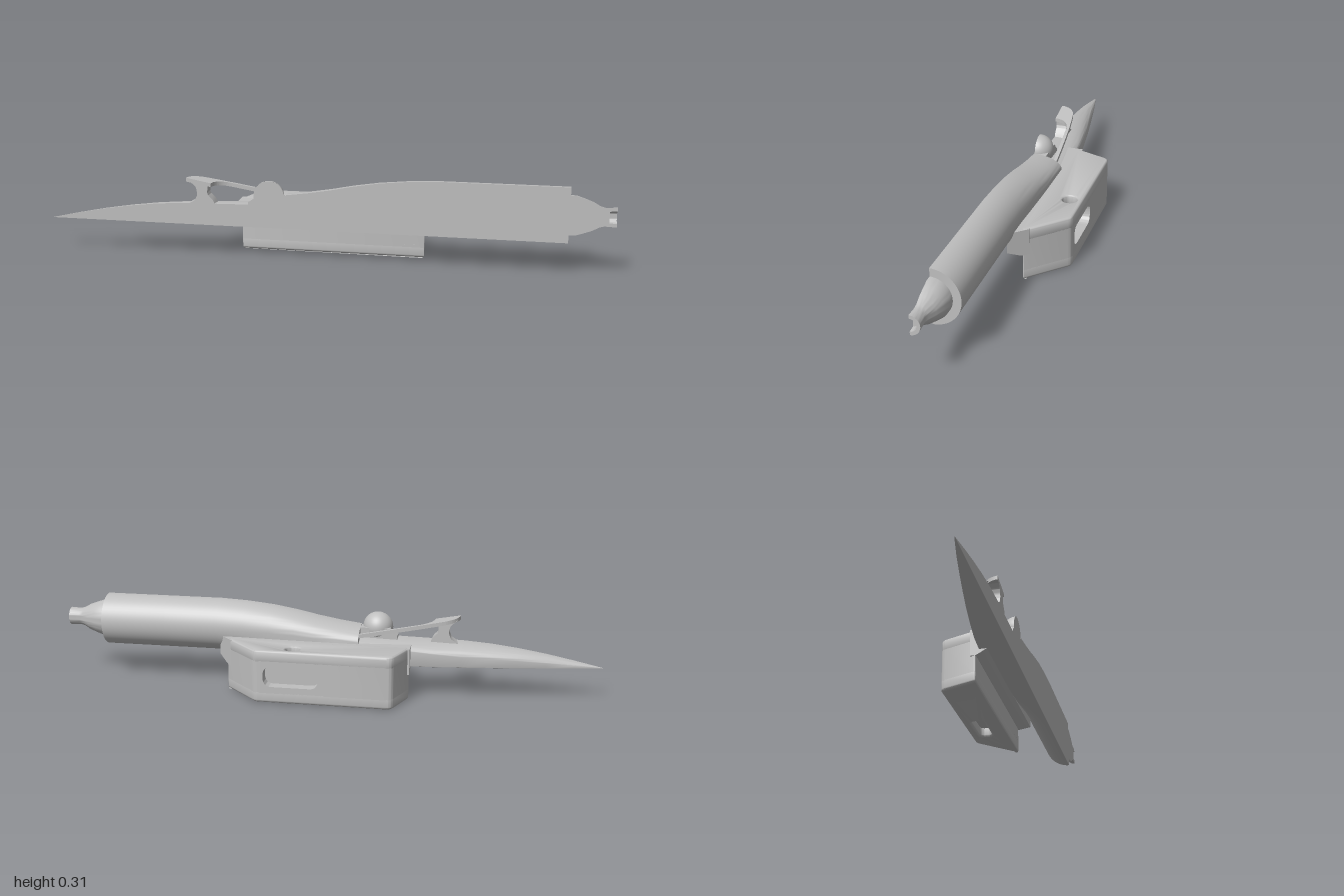
import * as THREE from 'three';
import { toCreasedNormals } from 'three/addons/utils/BufferGeometryUtils.js';

const CUT = 0.125; // flat front plane where the half hull ends
const grey = new THREE.MeshStandardMaterial({ color: 0xbfbfbf, side: THREE.DoubleSide });
grey.name = 'light grey';

function add(group, name, geometry) {
  const mesh = new THREE.Mesh(geometry, grey);
  mesh.name = name;
  group.add(mesh);
  return mesh;
}

// Closed outline from [x, y, cornerRadius] points
function rounded(points, Type = THREE.Shape) {
  const s = new Type();
  const n = points.length;
  points.forEach(([x, y, r = 0], i) => {
    const p = new THREE.Vector2(x, y);
    const toward = (q) => new THREE.Vector2(q[0], q[1]).sub(p).setLength(r).add(p);
    const a = toward(points[(i + n - 1) % n]);
    const b = toward(points[(i + 1) % n]);
    if (i) s.lineTo(a.x, a.y); else s.moveTo(a.x, a.y);
    if (r) s.quadraticCurveTo(x, y, b.x, b.y);
  });
  s.closePath();
  return s;
}

function slot(cx, cy, length, height) {
  const l = length / 2, h = height / 2, r = h * 0.9;
  return rounded([[cx - l, cy - h, r], [cx + l, cy - h, r], [cx + l, cy + h, r], [cx - l, cy + h, r]], THREE.Path);
}

// Plan outline (x, -z) raised from y0 to y1, with an optional rounded edge
function slab(shape, y0, y1, b = 0) {
  const g = new THREE.ExtrudeGeometry(shape, {
    depth: y1 - y0 - 2 * b, bevelEnabled: b > 0, bevelSize: b, bevelOffset: -b,
    bevelThickness: b, bevelSegments: 4, curveSegments: 12,
  });
  g.rotateX(-Math.PI / 2).translate(0, y0 + b, 0);
  return toCreasedNormals(g, 0.6);
}

// Outline in x, y pushed from z0 to z1
function sidePlate(shape, z0, z1) {
  const g = new THREE.ExtrudeGeometry(shape, { depth: z1 - z0, bevelEnabled: false, curveSegments: 12 });
  return toCreasedNormals(g.translate(0, 0, z0), 0.6);
}

// Half hull: each station is x, top, half width, squareness (0 box .. 1 round), side height fraction
function hullGeometry() {
  const base = 0.12;
  const stations = [
    [-1, 0.121, 0.002, 0.03, 0.45], [-0.9, 0.143, 0.023, 0.03, 0.45], [-0.8, 0.163, 0.041, 0.03, 0.45],
    [-0.7, 0.179, 0.058, 0.03, 0.45], [-0.6, 0.191, 0.074, 0.03, 0.47], [-0.5, 0.198, 0.088, 0.03, 0.5],
    [-0.4, 0.2, 0.1, 0.03, 0.6], [-0.3, 0.202, 0.106, 0.03, 0.7], [-0.131, 0.206, 0.107, 0.05, 0.75],
    [-0.13, 0.243, 0.107, 0.05, 0.6], [-0.05, 0.254, 0.106, 0.1, 0.6], [0.03, 0.268, 0.105, 0.2, 0.58],
    [0.11, 0.285, 0.103, 0.35, 0.56], [0.2, 0.3, 0.1, 0.6, 0.53], [0.3, 0.31, 0.097, 0.85, 0.51],
    [0.4, 0.315, 0.097, 1, 0.5], [0.6, 0.315, 0.097, 1, 0.5], [0.845, 0.315, 0.097, 1, 0.5],
  ];
  const half = 14, n = 2 * half + 1;
  const pos = [], index = [];
  for (const [x, top, w, e, f] of stations) {
    const h = top - base;
    for (let j = 0; j < n; j++) {
      const a = ((j - half) / half) * Math.PI / 2;
      const c = Math.max(0, Math.cos(a)), s = Math.abs(Math.sin(a));
      const end = j === 0 || j === n - 1;
      const k = a < 0 ? e : 1;
      const out = end ? 0 : w * Math.pow(c, k);
      const y = a < 0 ? base + h * f * (1 - Math.pow(s, k)) : base + h * (f + (1 - f) * s);
      pos.push(x, y, CUT - out);
    }
  }
  for (let i = 0; i < stations.length - 1; i++) {
    for (let j = 0; j < n; j++) {
      const a = i * n + j, b = i * n + (j + 1) % n;
      index.push(a, b, a + n, b, b + n, a + n);
    }
  }
  const last = (stations.length - 1) * n;
  for (let j = 1; j < n - 1; j++) index.push(last, last + j, last + j + 1);
  const g = new THREE.BufferGeometry();
  g.setAttribute('position', new THREE.Float32BufferAttribute(pos, 3));
  g.setIndex(index);
  return toCreasedNormals(g, 0.55);
}

// Half of a turned nozzle along x, with its flat cut face
function nozzle(group) {
  const profile = [[0.82, 0], [0.82, 0.07], [0.865, 0.069], [0.89, 0.061], [0.92, 0.05], [0.945, 0.036],
    [0.96, 0.032], [1, 0.034], [1, 0.022], [0.975, 0.02], [0.975, 0]];
  const lathe = new THREE.LatheGeometry(profile.map(([x, r]) => new THREE.Vector2(r, x)), 28, Math.PI / 2, Math.PI);
  lathe.rotateZ(-Math.PI / 2); // axis onto +x
  // keep the rear half: the swept half starts on +y or -y and must face -z
  lathe.computeBoundingBox();
  if (lathe.boundingBox.max.z > 0.01) lathe.rotateX(Math.PI);
  if (lathe.boundingBox.max.y - lathe.boundingBox.min.y < 0.1) lathe.rotateX(-Math.PI / 2);
  lathe.computeBoundingBox();
  if (lathe.boundingBox.max.z > 0.01) lathe.rotateX(Math.PI);
  add(group, 'nozzle', toCreasedNormals(lathe, 0.7)).position.set(0, 0.2175, CUT);
  const outline = [...profile, ...profile.slice().reverse().map(([x, r]) => [x, -r])];
  const cap = new THREE.ShapeGeometry(rounded(outline.filter((p) => p[1] !== 0)));
  add(group, 'nozzleCutFace', cap).position.set(0, 0.2175, CUT);
}

// Side pod with a round well on top and slots behind and below
function sidePod(group) {
  const ends = (notch) => [[-0.32, -0.01, 0.01], [0.355, -0.01, 0.01], [0.22, 0.125, 0.015], ...notch, [-0.27, 0.125, 0.02]];
  const top = rounded(ends([]));
  top.holes.push(new THREE.Path().absarc(0.09, 0.078, 0.026, 0, Math.PI * 2, true));
  const bottom = rounded(ends([]));
  bottom.holes.push(slot(0.09, 0.07, 0.15, 0.045));
  const core = rounded(ends([[0.2, 0.125], [0.2, 0.085], [-0.03, 0.085], [-0.03, 0.125]]));
  add(group, 'podTop', slab(top, 0.145, 0.195, 0.01));
  add(group, 'podCore', slab(core, 0.038, 0.157));
  add(group, 'podBottom', slab(bottom, 0.002, 0.05, 0.01));
  const back = rounded([[-0.03, 0.038], [0.2, 0.038], [0.2, 0.157], [-0.03, 0.157]]);
  back.holes.push(slot(0.09, 0.1, 0.2, 0.075));
  add(group, 'podSlotPlate', sidePlate(back, -0.125, -0.085));
  // Fairing between pod and hull
  const fairing = rounded([[-0.05, 0.121], [-0.01, 0.098, 0.006], [0.01, 0.098], [0.01, 0.194], [-0.05, 0.194]]);
  const g = new THREE.ExtrudeGeometry(fairing, { depth: 0.69, bevelEnabled: false });
  g.rotateY(Math.PI / 2).translate(-0.32, 0, 0);
  // slant the +x end to follow the pod
  const p = g.attributes.position;
  for (let i = 0; i < p.count; i++) if (p.getX(i) > 0) p.setX(i, 0.355 + (p.getZ(i) - 0.01) * 0.9);
  add(group, 'podFairing', toCreasedNormals(g, 0.5));
}

function cockpit(group) {
  // Sloping windscreen frame around the opening
  const frame = new THREE.Shape();
  frame.moveTo(-0.49, -CUT);
  frame.quadraticCurveTo(-0.485, -0.078, -0.44, -0.066);
  frame.quadraticCurveTo(-0.35, -0.05, -0.13, -0.038);
  frame.lineTo(-0.13, -0.05);
  frame.lineTo(-0.34, -0.064);
  frame.quadraticCurveTo(-0.395, -0.07, -0.4, -CUT);
  const g = slab(frame, 0, 0.014);
  const p = g.attributes.position;
  for (let i = 0; i < p.count; i++) p.setY(i, p.getY(i) + 0.275 - (p.getX(i) + 0.48) * 0.185);
  g.computeVertexNormals();
  add(group, 'windscreenFrame', g);

  const post = rounded([[-0.485, 0.195], [-0.46, 0.21], [-0.45, 0.23, 0.01], [-0.455, 0.26, 0.01], [-0.48, 0.28],
    [-0.41, 0.268], [-0.415, 0.235, 0.01], [-0.395, 0.215], [-0.385, 0.195]]);
  add(group, 'windscreenPost', sidePlate(post, 0.085, CUT));

  const seat = rounded([[-0.265, 0.195], [-0.265, 0.212], [-0.245, 0.225], [-0.24, 0.24], [-0.128, 0.24], [-0.128, 0.195]]);
  add(group, 'seat', sidePlate(seat, 0.078, CUT));

  // Half round headrest with a flat cut face
  const dome = new THREE.SphereGeometry(0.055, 28, 20, Math.PI, Math.PI);
  dome.computeBoundingBox();
  if (dome.boundingBox.max.z > 0.01) dome.rotateY(Math.PI);
  add(group, 'headrest', dome).position.set(-0.19, 0.236, CUT);
  add(group, 'headrestCutFace', new THREE.CircleGeometry(0.055, 28)).position.set(-0.19, 0.236, CUT);
}

export function createModel() {
  const group = new THREE.Group();
  group.name = 'halfSpeeder';
  add(group, 'hull', hullGeometry());
  nozzle(group);
  sidePod(group);
  cockpit(group);
  return group;
}
